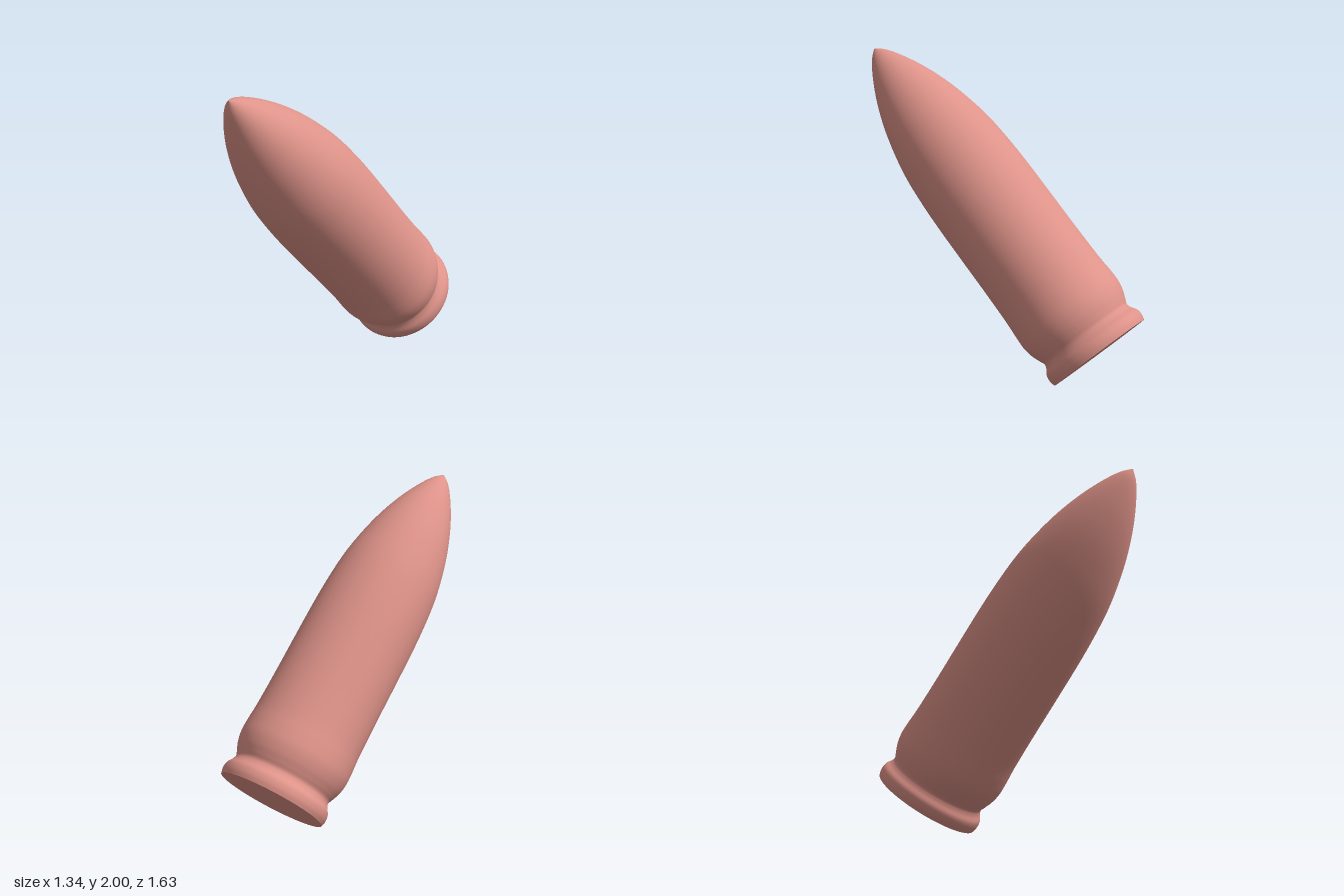
import * as THREE from 'three';

const v2 = (r, y) => new THREE.Vector2(r, y);

// Lathe a smooth curve through a few [radius, height] points
function turned(name, points, steps, material) {
  const curve = new THREE.SplineCurve(points.map(([r, y]) => v2(r, y)));
  const profile = curve.getPoints(steps);
  profile.forEach((p) => { p.x = Math.max(p.x, 0); });
  const mesh = new THREE.Mesh(new THREE.LatheGeometry(profile, 96), material);
  mesh.name = name;
  return mesh;
}

export function createModel() {
  const model = new THREE.Group();
  model.name = 'bullet';
  const salmon = new THREE.MeshStandardMaterial({ color: 0xde9389 });
  salmon.name = 'salmon';

  const length = 2.415;
  const bullet = new THREE.Group();
  bullet.name = 'tiltedBullet';

  // Rounded rim, groove, slightly flared case and pointed nose in one turned surface
  bullet.add(turned('caseAndNose', [
    [0.341, 0], [0.349, 0.035], [0.344, 0.075], [0.322, 0.11], [0.314, 0.14],
    [0.328, 0.175], [0.347, 0.225], [0.359, 0.29], [0.358, 0.37], [0.352, 0.48],
    [0.349, 0.7], [0.349, 0.95], [0.348, 1.2], [0.342, 1.4], [0.326, 1.6],
    [0.294, 1.78], [0.25, 1.95], [0.192, 2.11], [0.125, 2.25], [0.06, 2.355], [0, length],
  ], 140, salmon));

  // Flat base with a sharp edge
  const base = new THREE.Mesh(new THREE.CircleGeometry(0.341, 96), salmon);
  base.name = 'base';
  base.rotation.x = Math.PI / 2;
  bullet.add(base);

  // Lean the long axis from the base towards the raised tip
  const foot = new THREE.Vector3(0.353, 0.234, -0.525);
  const tip = new THREE.Vector3(-0.625, 2, 0.8);
  bullet.position.copy(foot);
  bullet.quaternion.setFromUnitVectors(new THREE.Vector3(0, 1, 0), tip.sub(foot).normalize());

  model.add(bullet);
  return model;
}
